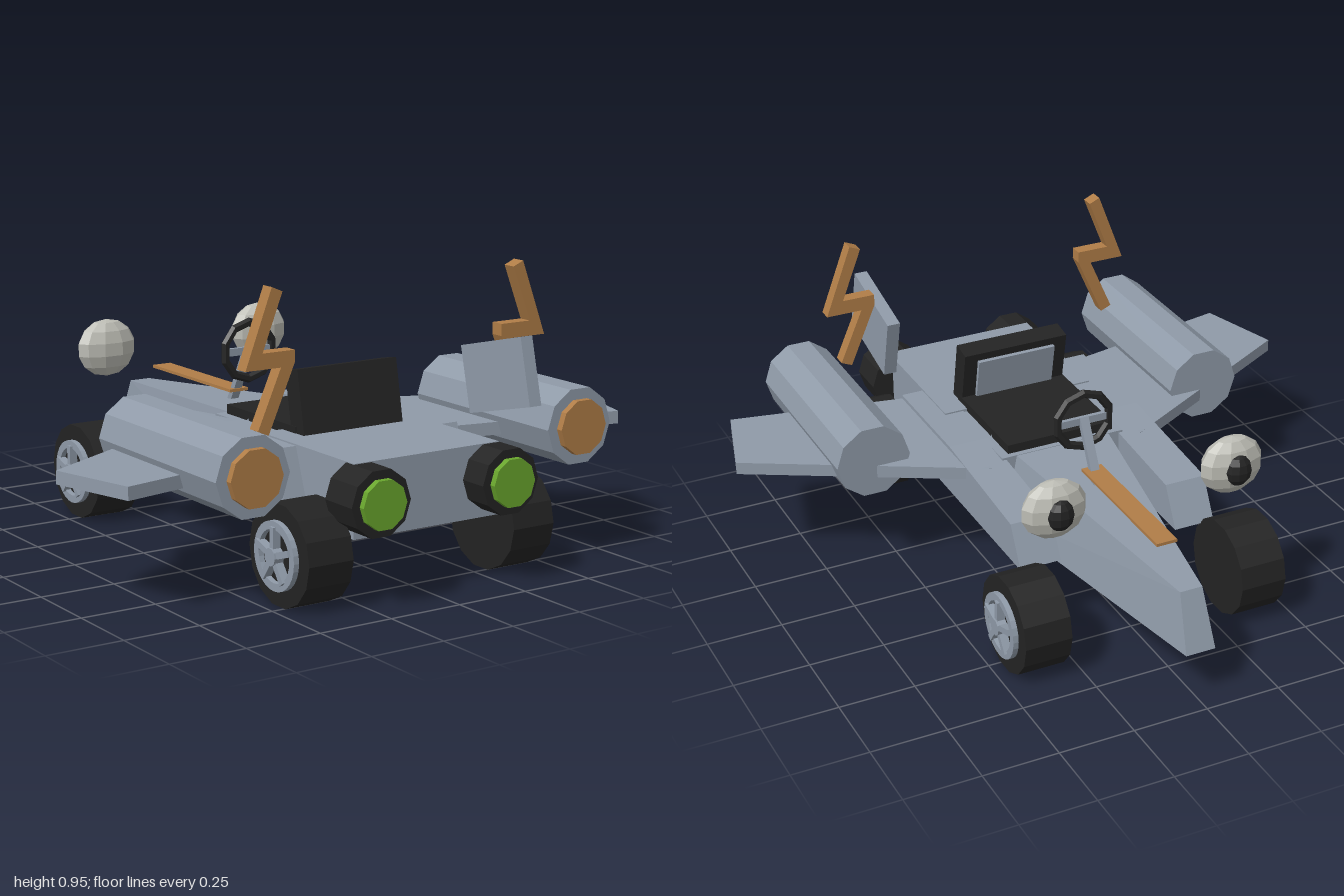
import * as THREE from 'three';
import { ConvexGeometry } from 'three/addons/geometries/ConvexGeometry.js';

const paint = (name, color) => Object.assign(new THREE.MeshStandardMaterial({ color }), { name });

export function createModel() {
  const model = new THREE.Group();
  model.name = 'kart';
  const grey = paint('bodyGrey', 0x8f9aa8);
  const black = paint('black', 0x232323);
  const orange = paint('orange', 0xb07d47);
  const green = paint('green', 0x69a62d);
  const white = paint('eyeWhite', 0xbcbcb4);

  // Faceted mesh helper
  const add = (name, geo, mat, pos = [0, 0, 0], parent = model) => {
    const flat = geo.index ? geo.toNonIndexed() : geo;
    flat.computeVertexNormals();
    const mesh = new THREE.Mesh(flat, mat);
    mesh.name = name;
    mesh.position.set(...pos);
    parent.add(mesh);
    return mesh;
  };
  const box = (w, h, d) => new THREE.BoxGeometry(w, h, d);
  const hull = (pts) => new ConvexGeometry(pts.map((p) => new THREE.Vector3(...p)));
  // Ten-sided drum along z
  const drum = (r, len) =>
    new THREE.CylinderGeometry(r, r, len, 10).rotateX(Math.PI / 2).rotateZ(Math.PI / 10);
  const extrude = (pts, depth) =>
    new THREE.ExtrudeGeometry(new THREE.Shape(pts.map((p) => new THREE.Vector2(...p))), {
      depth, bevelEnabled: false,
    });

  // Wedge nose
  const nose = [];
  for (const s of [-1, 1]) {
    nose.push([s * 0.05, 0.18, -0.95], [s * 0.038, 0.365, -0.88],
      [s * 0.19, 0.434, 0.14], [s * 0.25, 0.18, 0.21]);
  }
  add('nose', hull(nose), grey);
  add('hoodStripe', box(0.07, 0.01, 0.51), orange, [0, 0.442, -0.47]);

  // Centre floor and rear body
  add('floor', box(0.44, 0.165, 0.36), grey, [0, 0.343, 0.17]);
  add('rearBody', box(0.54, 0.23, 0.5), grey, [0, 0.32, 0.585]);

  // Seat
  add('seatCushion', box(0.38, 0.05, 0.4), black, [0, 0.431, 0.21]);
  const back = new THREE.Group();
  back.name = 'seatBack';
  back.position.set(0, 0.53, 0.4);
  back.rotation.x = -0.19;
  model.add(back);
  add('backFrame', box(0.375, 0.205, 0.07), black, [0, 0, 0], back);
  add('backPad', box(0.28, 0.15, 0.014), grey, [0, 0, -0.041], back);

  // Steering wheel and column
  add('steeringWheel', new THREE.TorusGeometry(0.095, 0.015, 6, 10).rotateZ(Math.PI / 10), black, [0, 0.587, -0.155]);
  add('steeringSpoke', box(0.18, 0.025, 0.014), grey, [0, 0.587, -0.155]);
  const column = add('steeringColumn', box(0.03, 0.23, 0.02), grey, [0, 0.495, -0.208]);
  column.rotation.x = 0.48;

  // Single rear fin on the left
  const fin = add('fin', box(0.045, 0.215, 0.3), grey, [0.352, 0.615, 0.735]);
  fin.rotation.x = -0.24;

  // Wheel with ring rim, hub and five spokes, facing +x
  const makeWheel = (name, s, z) => {
    const wheel = new THREE.Group();
    wheel.name = name;
    wheel.position.set(s * 0.3, 0.16, z);
    wheel.rotation.y = s > 0 ? 0 : Math.PI;
    model.add(wheel);
    add('tire', new THREE.CylinderGeometry(0.16, 0.16, 0.157, 14).rotateZ(-Math.PI / 2),
      black, [0.0785, 0, 0], wheel);
    const ring = new THREE.Shape().absarc(0, 0, 0.107, 0, Math.PI * 2);
    ring.holes.push(new THREE.Path().absarc(0, 0, 0.082, 0, Math.PI * 2, true));
    add('rim', new THREE.ExtrudeGeometry(ring, { depth: 0.025, bevelEnabled: false, curveSegments: 14 })
      .rotateY(Math.PI / 2), grey, [0.15, 0, 0], wheel);
    add('hub', new THREE.CylinderGeometry(0.028, 0.028, 0.035, 10).rotateZ(-Math.PI / 2),
      grey, [0.172, 0, 0], wheel);
    for (let i = 0; i < 5; i++) {
      add('spoke', box(0.028, 0.09, 0.02).translate(0, 0.045, 0).rotateX((i * Math.PI * 2) / 5),
        grey, [0.17, 0, 0], wheel);
    }
  };

  for (const s of [1, -1]) {
    const side = s > 0 ? 'left' : 'right';

    // Side pod with sloped ends
    const pod = [];
    for (const x of [s * 0.205, s * 0.345]) {
      pod.push([x, 0.26, -0.41], [x, 0.39, -0.34], [x, 0.43, 0.13], [x, 0.43, 0.53], [x, 0.26, 0.59]);
    }
    add(side + 'SidePod', hull(pod), grey);

    // Swept wing
    add(side + 'Wing', extrude([[0.27, -0.04], [1, 0.36], [0.92, 0.645], [0.27, 0.515]]
      .map(([x, z]) => [s * x, z]), 0.042).rotateX(Math.PI / 2), grey, [0, 0.417, 0]);

    // Thruster on the wing
    add(side + 'Thruster', drum(0.126, 0.675), grey, [s * 0.607, 0.437, 0.477]);
    add(side + 'ThrusterCap', drum(0.09, 0.03), orange, [s * 0.607, 0.437, 0.822]);

    // Zigzag bolt
    add(side + 'Bolt', extrude([[0.465, 0.957], [0.428, 0.941], [0.497, 0.765], [0.385, 0.765],
      [0.385, 0.727], [0.476, 0.519], [0.513, 0.535], [0.433, 0.717], [0.556, 0.717]]
      .map(([x, y]) => [s * x, y]), 0.045), orange, [0, 0, 0.65]);

    // Tail lamp
    add(side + 'LampHousing', drum(0.106, 0.135), black, [s * 0.24, 0.332, 0.865]);
    add(side + 'LampLens', drum(0.078, 0.03), green, [s * 0.24, 0.332, 0.938]);

    // Floating eye looking along the nose
    add(side + 'Eye', new THREE.SphereGeometry(1, 10, 7).scale(0.11, 0.098, 0.057), white,
      [s * 0.307, 0.563, -0.57]);
    add(side + 'Pupil', new THREE.SphereGeometry(1, 10, 6).scale(0.045, 0.052, 0.032), black,
      [s * 0.307, 0.563, -0.617]);

    makeWheel(side + 'RearWheel', s, 0.72);
    makeWheel(side + 'FrontWheel', s, -0.525);
  }
  return model;
}
